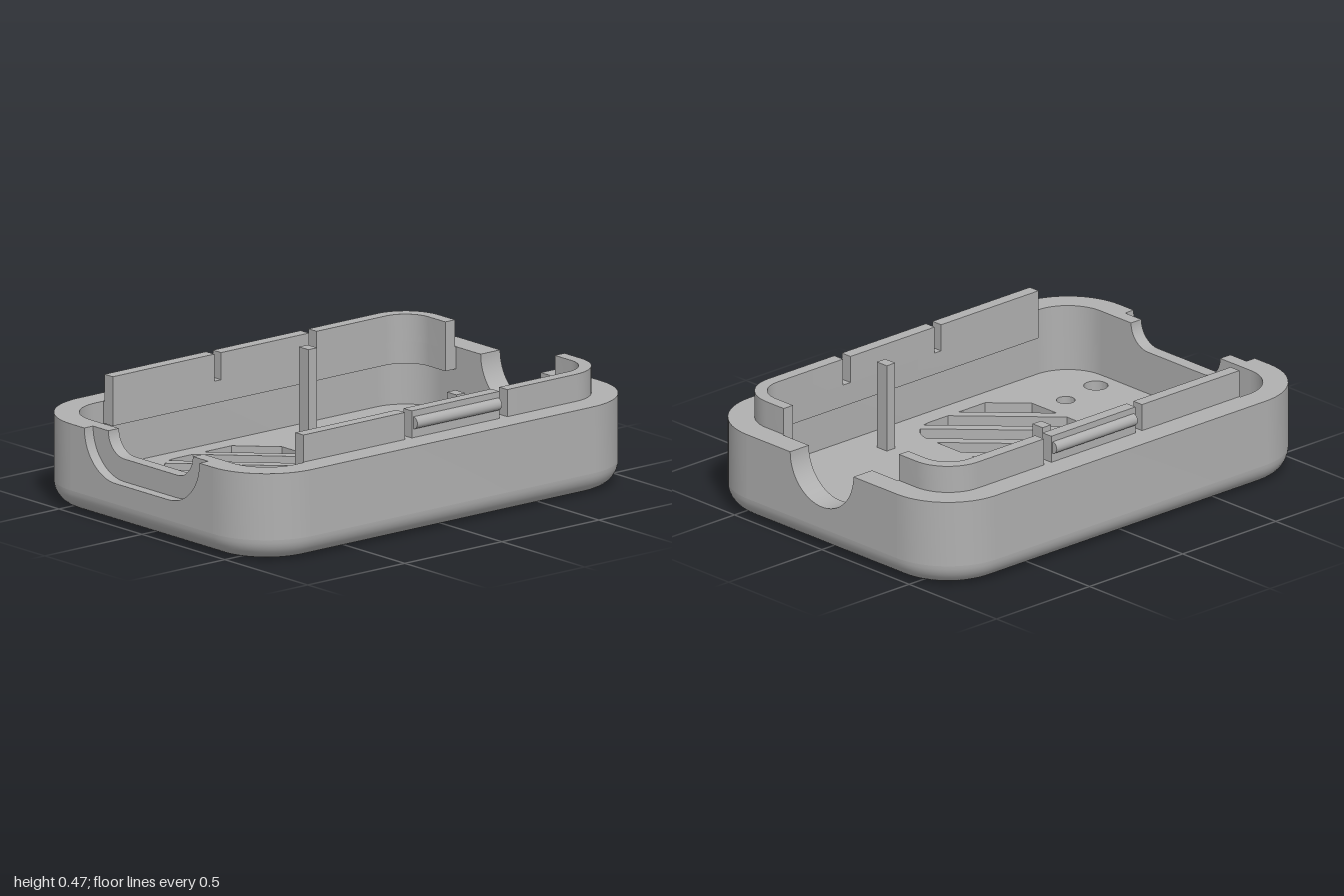
import * as THREE from 'three';
import { toCreasedNormals } from 'three/addons/utils/BufferGeometryUtils.js';

const CX = 0.43, CZ = 0.725;               // centres of the corner arcs
const RIM = 0.36, FLOOR = 0.09, LIP_TOP = 0.47;
const V = (x, y) => new THREE.Vector2(x, y);

const arc = (cx, cy, r, a0, a1, n = 16) => Array.from({ length: n + 1 }, (_, i) => {
  const a = THREE.MathUtils.degToRad(a0 + (a1 - a0) * i / n);
  return V(cx + r * Math.cos(a), cy + r * Math.sin(a));
});

const roundRect = (cx, cy, hx, hy, r) => [
  ...arc(cx + hx, cy + hy, r, 0, 90), ...arc(cx - hx, cy + hy, r, 90, 180),
  ...arc(cx - hx, cy - hy, r, 180, 270), ...arc(cx + hx, cy - hy, r, 270, 360),
];

// Keeps the part of a polygon where lo < x + y < hi
function clipBand(points, lo, hi) {
  for (const [sign, limit] of [[1, lo], [-1, -hi]]) {
    const out = [];
    points.forEach((p, i) => {
      const q = points[(i + 1) % points.length];
      const dp = sign * (p.x + p.y) - limit, dq = sign * (q.x + q.y) - limit;
      if (dp >= 0) out.push(p);
      if (dp * dq < 0) out.push(p.clone().lerp(q, dp / (dp - dq)));
    });
    points = out;
  }
  return points;
}

function extrude(points, depth, holes = []) {
  const shape = new THREE.Shape(points);
  shape.holes = holes.map((h) => new THREE.Path(h));
  return new THREE.ExtrudeGeometry(shape, { depth, bevelEnabled: false });
}

// Plan outline (x, z) raised from y0 to y1
function slab(points, y0, y1, holes) {
  const g = extrude(points, y1 - y0, holes);
  g.rotateX(Math.PI / 2).translate(0, y1, 0);
  return toCreasedNormals(g, 0.5);
}

// End wall between z0 and z1 with a rounded notch in its top edge
function notchedWall(z0, z1, halfFlat, r) {
  const pts = [V(-CX, FLOOR), V(CX, FLOOR), V(CX, RIM),
    ...arc(halfFlat, RIM, r, 0, -90), ...arc(-halfFlat, RIM, r, -90, -180), V(-CX, RIM)];
  return toCreasedNormals(extrude(pts, z1 - z0).translate(0, 0, z0), 0.5);
}

// Quarter-round edge along the bottom
function bottomFillet() {
  const pos = [], idx = [], rings = 10;
  let n = 0;
  for (let i = 0; i <= rings; i++) {
    const a = (i / rings) * Math.PI / 2;
    const loop = roundRect(0, 0, CX, CZ, 0.185 + 0.09 * Math.sin(a));
    n = loop.length;
    loop.forEach((p) => pos.push(p.x, 0.09 - 0.09 * Math.cos(a), p.y));
  }
  for (let i = 0; i < rings; i++) {
    for (let j = 0; j < n; j++) {
      const a = i * n + j, b = i * n + (j + 1) % n;
      idx.push(a, a + n, b, b, a + n, b + n);
    }
  }
  const g = new THREE.BufferGeometry();
  g.setAttribute('position', new THREE.Float32BufferAttribute(pos, 3));
  g.setIndex(idx);
  return toCreasedNormals(g, 0.6);
}

export function createModel() {
  const model = new THREE.Group();
  model.name = 'enclosureHalf';
  const grey = new THREE.MeshStandardMaterial({ color: 0xb0b0b0, side: THREE.DoubleSide });
  grey.name = 'grey plastic';
  const add = (name, geometry) => {
    const mesh = new THREE.Mesh(geometry, grey);
    mesh.name = name;
    model.add(mesh);
    return mesh;
  };

  // Diagonal vent slots
  const vent = roundRect(-0.0025, 0.2225, 0.3975, 0.1475, 0.13);
  const slots = [];
  for (let k = 0; k < 7; k++) slots.push(clipBand(vent, -0.445 + 0.2 * k, -0.305 + 0.2 * k));

  // Floor in two layers, the lower one opened up for the countersinks
  const screws = [];
  for (const s of [-1, 1]) {
    screws.push({ x: s * 0.33, z: 0.62, r: 0.037, R: 0.062 });
    screws.push({ x: s * 0.36, z: 0.81, r: 0.048, R: 0.08 });
  }
  const floorOutline = roundRect(0, 0, CX, CZ, 0.185);
  const circles = (key) => screws.map((h) => arc(h.x, h.z, h[key], 0, 348.75, 31));
  add('floorLower', slab(floorOutline, 0, 0.045, [...slots, ...circles('R')]));
  add('floorUpper', slab(floorOutline, 0.045, FLOOR, [...slots, ...circles('r')]));
  for (const h of screws) {
    const cone = new THREE.CylinderGeometry(h.r, h.R, 0.045, 32, 1, true);
    add('countersink', cone.translate(h.x, 0.0225, h.z));
  }
  add('bottomFillet', bottomFillet());

  // End walls: stepped cable notch at the front, round one at the back
  add('frontWallInner', notchedWall(0.9, 0.955, 0.16, 0.095));
  add('frontWallOuter', notchedWall(0.955, 1, 0.16, 0.187));
  add('backWall', notchedWall(-1, -0.9, 0.001, 0.18));

  for (const s of [-1, 1]) {
    const side = s > 0 ? 'left' : 'right';
    const plan = (pts) => pts.map((p) => V(s * p.x, p.y));

    // Side wall with both corners
    add(side + 'Wall', slab(plan([
      ...arc(CX, -CZ, 0.275, -90, 0), ...arc(CX, CZ, 0.275, 0, 90),
      ...arc(CX, CZ, 0.175, 90, 0), ...arc(CX, -CZ, 0.175, 0, -90),
    ]), FLOOR, RIM));

    // Locating lip: continuous root, then three tabs above the rim
    const lipBack = (zEnd, rOut) => plan([
      V(0.33, -CZ - rOut), ...arc(CX, -CZ, rOut, -90, 0), V(CX + rOut, zEnd),
      V(0.55, zEnd), ...arc(CX, -CZ, 0.12, 0, -90), V(0.33, -CZ - 0.12),
    ]);
    const strip = (z0, z1) => plan([V(0.55, z0), V(0.6, z0), V(0.6, z1), V(0.55, z1)]);
    add(side + 'LipRoot', slab(lipBack(0.68, 0.177), 0.27, RIM));
    add(side + 'LipBack', slab(lipBack(-0.37, 0.17), RIM, LIP_TOP));
    add(side + 'LipClip', slab(strip(-0.33, 0.122), RIM, LIP_TOP));
    add(side + 'LipFront', slab(strip(0.157, 0.68), RIM, LIP_TOP));

    // Snap bead on the clip
    const bead = new THREE.CylinderGeometry(0.025, 0.025, 0.435, 20).rotateX(Math.PI / 2);
    add(side + 'SnapBead', bead.translate(s * 0.598, 0.42, -0.105));

    // Support post
    const post = new THREE.BoxGeometry(0.057, 0.36, 0.045);
    add(side + 'Post', post.translate(s * 0.446, 0.27, -0.237));
  }
  return model;
}
